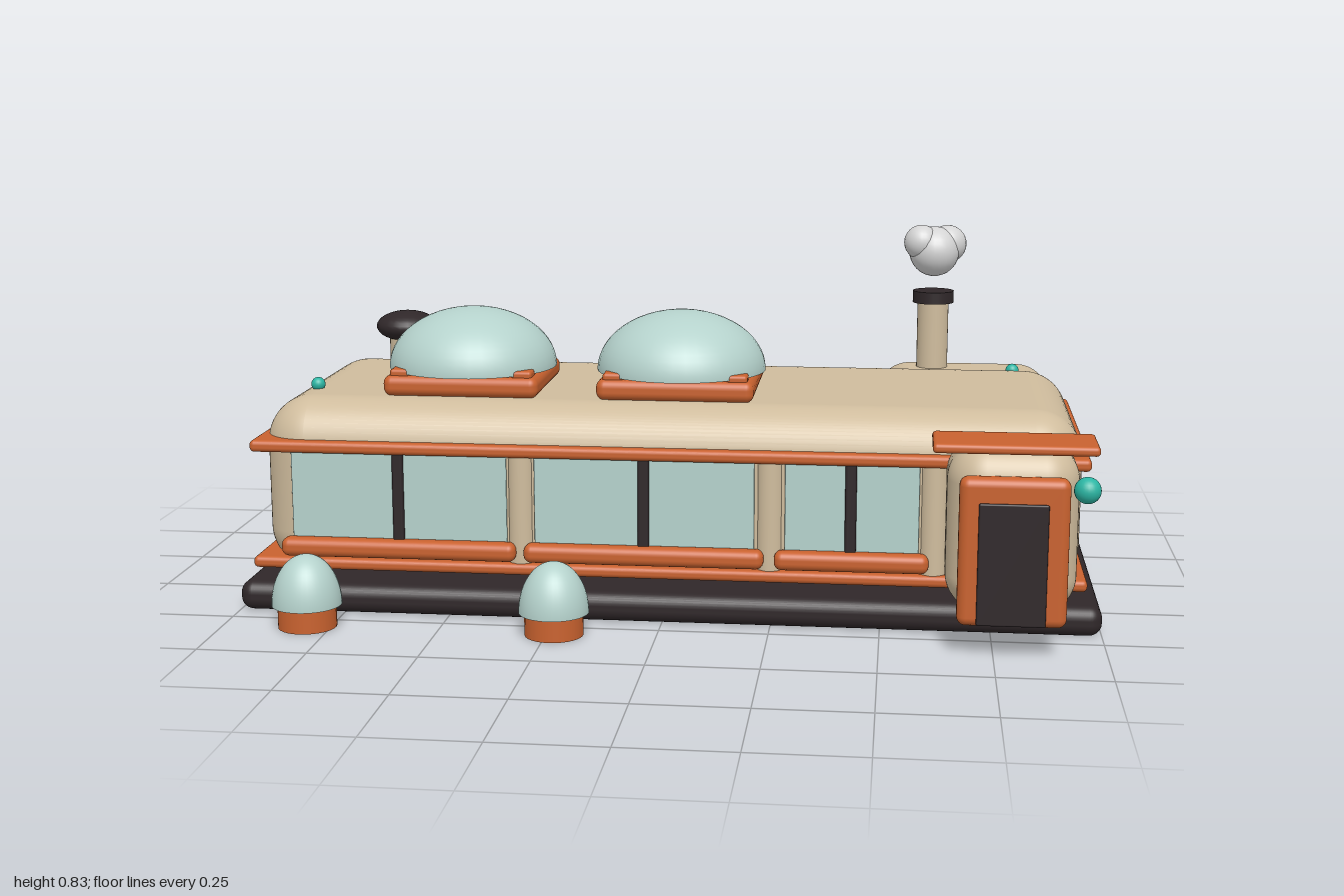
import * as THREE from 'three';
import { RoundedBoxGeometry } from 'three/addons/geometries/RoundedBoxGeometry.js';

const mat = (name, color) => {
  const m = new THREE.MeshStandardMaterial({ color });
  m.name = name;
  return m;
};

export function createModel() {
  const model = new THREE.Group();
  model.name = 'diner';
  const cream = mat('cream', 0xcfbc9d);
  const orange = mat('orange', 0xc9622f);
  const dark = mat('dark', 0x2f2729);
  const glass = mat('glass', 0xb5d2cc);
  const teal = mat('teal', 0x2bb5a3);
  const smokeGrey = mat('smoke grey', 0xd4d4d4);

  const add = (name, geometry, material, x = 0, y = 0, z = 0) => {
    const mesh = new THREE.Mesh(geometry, material);
    mesh.name = name;
    mesh.position.set(x, y, z);
    model.add(mesh);
    return mesh;
  };
  // Rounded box given by its extents on each axis
  const box = (name, material, [x0, x1], [y0, y1], [z0, z1], radius = 0.01, segments = 3) =>
    add(name, new RoundedBoxGeometry(x1 - x0, y1 - y0, z1 - z0, segments, radius), material,
      (x0 + x1) / 2, (y0 + y1) / 2, (z0 + z1) / 2);
  const cylinder = (name, material, r, y0, y1, x, z) =>
    add(name, new THREE.CylinderGeometry(r, r, y1 - y0, 28), material, x, (y0 + y1) / 2, z);
  const ball = (name, material, r, x, y, z) =>
    add(name, new THREE.SphereGeometry(r, 24, 16), material, x, y, z);
  // Closed half ellipsoid standing on y
  const dome = (name, r, h, x, y, z) => {
    const shell = add(name, new THREE.SphereGeometry(r, 40, 14, 0, Math.PI * 2, 0, Math.PI / 2), glass, x, y, z);
    shell.scale.y = h / r;
    add(name + 'Underside', new THREE.CircleGeometry(r, 40), glass, x, y, z).rotation.x = Math.PI / 2;
  };

  // Foundations
  box('mainBase', dark, [-1, 1], [0, 0.07], [-0.352, 0.457], 0.03, 4);
  box('annexBase', dark, [0.44, 0.96], [0, 0.068], [-0.67, -0.2], 0.03, 4);

  // Main hall and rear annex with their trim bands
  box('mainBody', cream, [-0.957, 0.953], [0.07, 0.494], [-0.303, 0.408], 0.11, 8);
  box('annexBody', cream, [0.473, 0.93], [0.07, 0.45], [-0.637, -0.2], 0.085, 8);
  box('upperTrim', orange, [-0.97, 0.965], [0.377, 0.405], [-0.316, 0.43], 0.011);
  box('lowerTrim', orange, [-0.97, 0.965], [0.099, 0.126], [-0.316, 0.43], 0.011);
  box('annexUpperTrim', orange, [0.45, 0.955], [0.354, 0.377], [-0.645, -0.26], 0.01);
  box('annexLowerTrim', orange, [0.45, 0.955], [0.099, 0.123], [-0.645, -0.26], 0.01);

  // Front windows: pane, mullion and sill
  const windows = [[-0.875, -0.365, -0.62], [-0.3, 0.21, -0.045], [0.28, 0.585, 0.43]];
  for (const [x0, x1, middle] of windows) {
    box('windowPane', glass, [x0, x1], [0.165, 0.385], [0.405, 0.414], 0.003, 1);
    box('windowMullion', dark, [middle - 0.013, middle + 0.013], [0.17, 0.392], [0.405, 0.424], 0.006);
    box('windowSill', orange, [x0 - 0.023, x1 + 0.023], [0.132, 0.176], [0.4, 0.447], 0.018, 4);
  }
  // Rounded posts between the windows
  for (const x of [-0.333, 0.245, 0.617]) cylinder('windowPost', cream, 0.032, 0.12, 0.385, x, 0.391);

  // Annex side window
  box('annexPane', glass, [0.926, 0.935], [0.168, 0.345], [-0.54, -0.368], 0.003, 1);
  box('annexMullion', dark, [0.926, 0.944], [0.17, 0.345], [-0.464, -0.438], 0.006);
  box('annexSill', orange, [0.92, 0.967], [0.132, 0.175], [-0.563, -0.343], 0.018, 4);

  // Entrance porch
  box('porchBody', cream, [0.643, 0.932], [0.075, 0.46], [0.36, 0.588], 0.085, 8);
  box('doorFrame', orange, [0.668, 0.906], [0.07, 0.402], [0.577, 0.626], 0.02, 4);
  box('door', dark, [0.71, 0.86], [0.075, 0.348], [0.622, 0.631], 0.004, 2);
  box('canopy', orange, [0.608, 0.96], [0.464, 0.485], [0.518, 0.668], 0.009);
  ball('doorLamp', teal, 0.029, 0.937, 0.387, 0.645);

  // Roof domes on square curbs with corner clips
  for (const x of [-0.495, 0.013]) {
    box('skylightCurb', orange, [x - 0.185, x + 0.185], [0.492, 0.542], [-0.03, 0.308], 0.02, 4);
    dome('skylightDome', 0.202, 0.142, x, 0.544, 0.14);
    for (const sx of [-1, 1]) for (const sz of [-1, 1])
      box('curbClip', orange, [x + sx * 0.145 - 0.025, x + sx * 0.145 + 0.025], [0.535, 0.556],
        [0.14 + sz * 0.13 - 0.025, 0.14 + sz * 0.13 + 0.025], 0.008);
  }

  // Roof vent
  cylinder('ventNeck', cream, 0.043, 0.47, 0.6, -0.705, -0.045);
  ball('ventCap', dark, 0.076, -0.705, 0.608, -0.048).scale.y = 0.5;

  // Chimney and smoke puffs
  cylinder('chimney', cream, 0.041, 0.42, 0.635, 0.617, -0.503);
  cylinder('chimneyCap', dark, 0.054, 0.624, 0.655, 0.617, -0.503);
  ball('smokePuff', smokeGrey, 0.066, 0.617, 0.76, -0.503);
  ball('smokePuff', smokeGrey, 0.046, 0.583, 0.785, -0.488);
  ball('smokePuff', smokeGrey, 0.05, 0.652, 0.778, -0.522);

  // Roof lamps
  ball('roofLamp', teal, 0.017, -0.86, 0.503, 0.22);
  ball('roofLamp', teal, 0.017, 0.826, 0.459, -0.41);

  // Front lamp posts
  for (const x of [-0.805, -0.232]) {
    cylinder('bollardBase', orange, 0.067, 0, 0.055, x, 0.553);
    dome('bollardDome', 0.08, 0.117, x, 0.053, 0.553);
  }

  // Rear storage tank: capped body, hoops, legs and feed pipe
  const tx = -0.453, tz = -0.455;
  const tankProfile = [[0, 0.06], [0.05, 0.065], [0.08, 0.085], [0.09, 0.12], [0.09, 0.3], [0.082, 0.335], [0.055, 0.362], [0, 0.37]]
    .map(([r, y]) => new THREE.Vector2(r, y));
  add('tankBody', new THREE.LatheGeometry(tankProfile, 32), cream, tx, 0, tz);
  for (const y of [0.15, 0.275])
    add('tankHoop', new THREE.TorusGeometry(0.096, 0.014, 10, 36), orange, tx, y, tz).rotation.x = Math.PI / 2;
  for (const sx of [-1, 1]) for (const sz of [-1, 1])
    cylinder('tankLeg', dark, 0.011, 0, 0.12, tx + sx * 0.05, tz + sz * 0.05);
  add('tankPipe', new THREE.CylinderGeometry(0.014, 0.014, 0.1, 14), orange, tx, 0.15, -0.33).rotation.x = Math.PI / 2;
  ball('tankLamp', teal, 0.019, tx, 0.375, tz);

  // Rear cooling unit with fan ring
  box('coolerBody', cream, [-0.855, -0.645], [0, 0.167], [-0.54, -0.373], 0.045, 6);
  add('coolerRing', new THREE.TorusGeometry(0.053, 0.013, 10, 32), orange, -0.75, 0.083, -0.541);
  add('coolerFan', new THREE.CylinderGeometry(0.051, 0.051, 0.009, 32), dark, -0.75, 0.083, -0.54).rotation.x = Math.PI / 2;
  for (const dy of [-0.02, 0, 0.02])
    box('coolerSlat', orange, [-0.793, -0.707], [0.08 + dy, 0.086 + dy], [-0.548, -0.54], 0.002, 1);
  add('coolerPipe', new THREE.CylinderGeometry(0.016, 0.016, 0.12, 14), dark, -0.75, 0.09, -0.335).rotation.x = Math.PI / 2;
  ball('coolerLamp', teal, 0.015, -0.826, 0.142, -0.532);

  return model;
}
